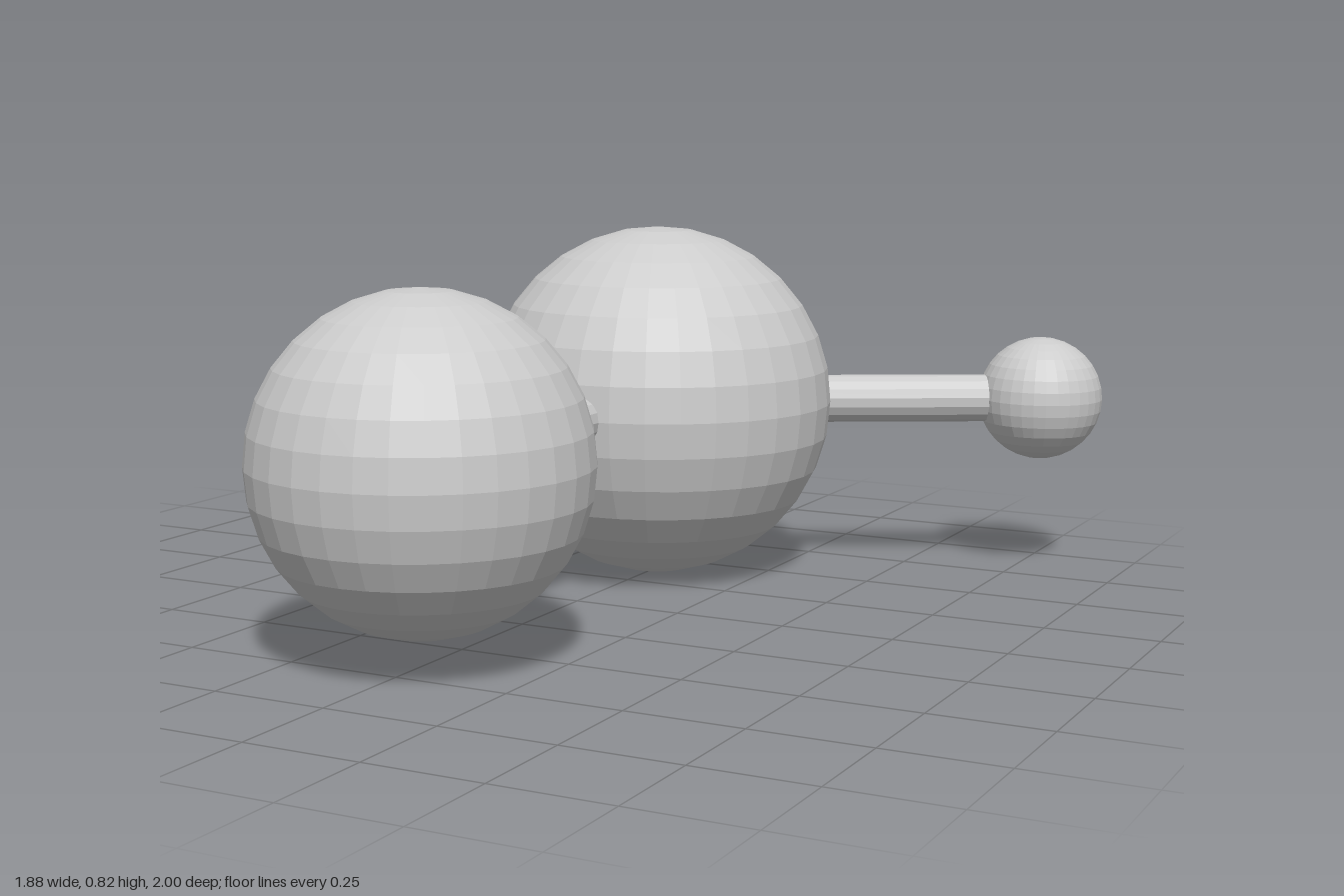
import * as THREE from 'three';

export function createModel() {
  const model = new THREE.Group();
  const material = new THREE.MeshStandardMaterial({ color: 0xcccccc, flatShading: true });
  const height = 0.41;

  // Faceted ball with its poles along y
  function addAtom(name, radius, x, z) {
    const atom = new THREE.Mesh(new THREE.SphereGeometry(radius, 32, 16), material);
    atom.name = name;
    atom.position.set(x, height, z);
    model.add(atom);
    return atom;
  }

  // Straight rod running between two atom centres
  function addBond(name, from, to) {
    const direction = to.position.clone().sub(from.position);
    const bond = new THREE.Mesh(
      new THREE.CylinderGeometry(0.056, 0.056, direction.length(), 16), material);
    bond.name = name;
    bond.position.copy(from.position).addScaledVector(direction, 0.5);
    bond.quaternion.setFromUnitVectors(new THREE.Vector3(0, 1, 0), direction.normalize());
    model.add(bond);
  }

  // Large central atom and the medium one in front of it
  const centre = addAtom('centralAtom', 0.41, 0, -0.4);
  const front = addAtom('frontAtom', 0.35, 0, 0.65);
  addBond('frontBond', centre, front);

  // Two small atoms angled out to the back
  for (const [side, sign] of [['left', 1], ['right', -1]]) {
    const small = addAtom(`${side}SmallAtom`, 0.145, sign * 0.795, -0.855);
    addBond(`${side}Bond`, centre, small);
  }

  return model;
}
